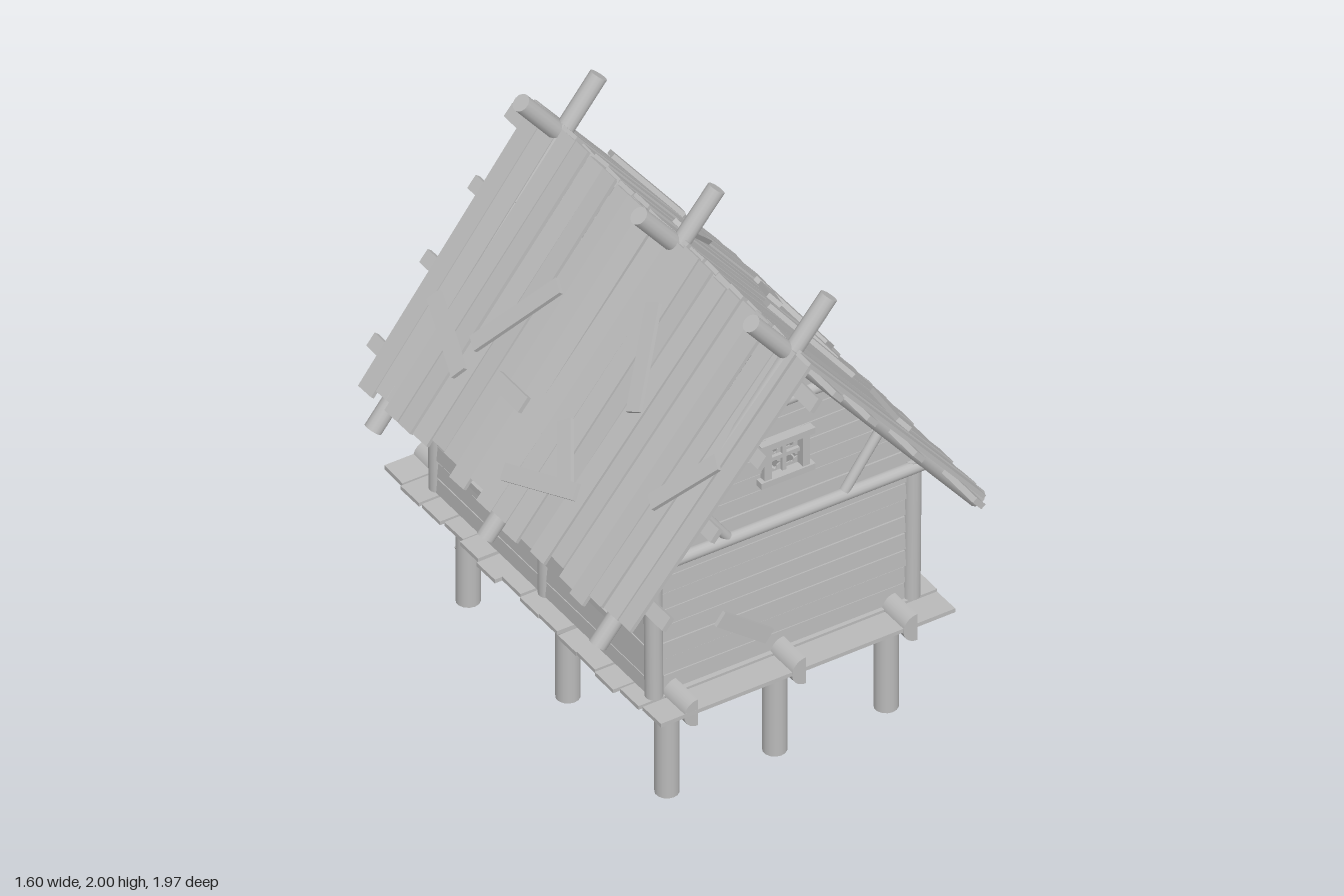
import * as THREE from 'three';

const wood = new THREE.MeshStandardMaterial({ color: 0xbababa });
wood.name = 'greyWood';

// Small seeded generator for hand-cut irregularity
let seed = 7;
const rnd = (a) => {
  seed = (seed * 16807) % 2147483647;
  return (seed / 2147483647 * 2 - 1) * a;
};

const SLOPE = 1.227, PITCH = Math.atan(SLOPE), RIDGE = 1.84;

function group(name, parent) {
  const g = new THREE.Group();
  g.name = name;
  parent.add(g);
  return g;
}
function add(parent, name, geo, x = 0, y = 0, z = 0) {
  const m = new THREE.Mesh(geo, wood);
  m.name = name;
  m.position.set(x, y, z);
  parent.add(m);
  return m;
}
const box = (parent, name, w, h, d, x, y, z) => add(parent, name, new THREE.BoxGeometry(w, h, d), x, y, z);

// Round log between two points
function log(parent, name, a, b, r) {
  const p = new THREE.Vector3(...a), q = new THREE.Vector3(...b);
  const dir = q.clone().sub(p);
  const m = add(parent, name, new THREE.CylinderGeometry(r, r, dir.length(), 14));
  m.position.copy(p).add(q).multiplyScalar(0.5);
  m.quaternion.setFromUnitVectors(new THREE.Vector3(0, 1, 0), dir.normalize());
  return m;
}
// Flat board between two points of a vertical plane
function board(parent, name, x1, y1, x2, y2, z, width, depth) {
  const m = box(parent, name, Math.hypot(x2 - x1, y2 - y1), width, depth, (x1 + x2) / 2, (y1 + y2) / 2, z);
  m.rotation.z = Math.atan2(y2 - y1, x2 - x1);
  return m;
}
function rectPath(x0, y0, x1, y1) {
  return new THREE.Path([[x0, y0], [x1, y0], [x1, y1], [x0, y1]].map((p) => new THREE.Vector2(...p)));
}

// Framed window with a cross bar and jagged broken panes
function windowFrame(parent, cx, cy, hw, hh) {
  const g = group('window', parent);
  g.position.set(cx, cy, 0);
  for (const s of [-1, 1]) {
    box(g, 'windowJamb', 0.03, hh * 2 + 0.03, 0.05, s * (hw + 0.008), 0, 0.012);
    box(g, 'windowRail', hw * 2 + 0.08, 0.026, 0.06, 0, s * (hh + 0.008), 0.014);
  }
  box(g, 'windowMullion', 0.016, hh * 2, 0.025, 0, 0, 0.005);
  box(g, 'windowBar', hw * 2, 0.016, 0.025, 0, 0, 0.005);
  const pane = new THREE.Shape(rectPath(-hw, -hh, hw, hh).getPoints());
  for (const sx of [-1, 1]) for (const sy of [-1, 1]) {
    const pts = [];
    for (let i = 0; i < 10; i++) {
      const a = i / 10 * Math.PI * 2, r = (i % 2 ? 0.45 : 0.85) + rnd(0.1);
      pts.push(new THREE.Vector2(sx * hw * 0.5 + Math.cos(a) * r * hw * 0.48, sy * hh * 0.5 + Math.sin(a) * r * hh * 0.48));
    }
    pane.holes.push(new THREE.Path(pts));
  }
  add(g, 'brokenGlass', new THREE.ExtrudeGeometry(pane, { depth: 0.004, bevelEnabled: false }));
}

// Plank wall in its own plane, facing local +z; half(y) gives its half width
function plankWall(parent, y0, y1, half, holes) {
  const back = new THREE.Shape([[-half(y0), y0], [half(y0), y0], [half(y1), y1], [-half(y1), y1]].map((p) => new THREE.Vector2(...p)));
  for (const h of holes) back.holes.push(rectPath(...h));
  add(parent, 'wallPanel', new THREE.ExtrudeGeometry(back, { depth: 0.02, bevelEnabled: false }), 0, 0, -0.015);
  const rows = Math.round((y1 - y0) / 0.07), step = (y1 - y0) / rows;
  for (let i = 0; i < rows; i++) {
    const lo = y0 + i * step, hi = lo + step, w = half(hi);
    const cuts = holes.filter((h) => h[1] < hi - 0.01 && h[3] > lo + 0.01).sort((a, b) => a[0] - b[0]);
    let x = -w;
    for (const end of [...cuts, [w, 0, w, 0]]) {
      if (end[0] - x > 0.01) {
        const m = box(parent, 'wallPlank', end[0] - x, step - 0.007, 0.034 + rnd(0.004), (x + end[0]) / 2, (lo + hi) / 2, -0.003);
        m.rotation.z = rnd(0.004);
        m.rotation.x = -0.06;
      }
      x = end[2];
    }
  }
}

export function createModel() {
  const model = new THREE.Group();
  model.name = 'stiltHut';

  // Stilts, half-log bearers and deck
  const base = group('base', model);
  for (const x of [-0.44, 0, 0.455]) {
    for (const z of [0.645, 0.01, -0.63]) log(base, 'stilt', [x, 0, z], [x, 0.45, z], 0.044);
    const bearer = add(base, 'bearer', new THREE.CylinderGeometry(0.056, 0.056, 1.74, 14, 1, false, Math.PI / 2, Math.PI), x, 0.472, -0.025);
    bearer.rotation.set(Math.PI / 2, Math.PI, 0);
    bearer.rotation.set(-Math.PI / 2, 0, 0);
    bearer.geometry.rotateY(Math.PI / 2);
  }
  for (let i = 0; i < 14; i++) {
    const p = box(base, 'deckPlank', 1.23 + rnd(0.025), 0.016, 0.117, rnd(0.012), 0.477 + rnd(0.003), 0.785 - i * 0.1245);
    p.rotation.set(rnd(0.03), rnd(0.008), rnd(0.006));
  }
  board(base, 'crossBrace', -0.44, 0.385, 0.04, 0.235, -0.68, 0.05, 0.018);
  board(base, 'crossBrace', -0.44, 0.165, 0.03, 0.365, -0.695, 0.05, 0.018);

  // Gable ends and side walls; local x runs along each wall
  const gableHalf = (y) => (RIDGE - y) / SLOPE - 0.045;
  const ends = [
    { name: 'frontWall', turn: 0, holes: [] },
    { name: 'backWall', turn: Math.PI, holes: [[-0.33, 0.485, -0.09, 0.97], [0.14, 0.71, 0.32, 0.9]] },
  ];
  for (const { name, turn, holes } of ends) {
    const side = group(name, model);
    side.rotation.y = turn;
    const w = group('boarding', side);
    w.position.z = 0.69;
    plankWall(w, 0.485, 1.06, () => 0.515, holes);
    plankWall(w, 1.06, 1.77, gableHalf, [[-0.07, 1.25, 0.07, 1.39]]);
    windowFrame(w, 0, 1.32, 0.07, 0.07);
    log(w, 'tieBeam', [-0.565, 1.055, 0.025], [0.565, 1.055, 0.025], 0.024);
    log(w, 'collarBeam', [-0.2, 1.56, 0.015], [0.2, 1.56, 0.015], 0.024);
    for (const s of [-1, 1]) log(w, 'gableBrace', [s * 0.24, 1.07, 0.025], [s * 0.39, 1.28, 0.025], 0.019);
    if (turn) {
      windowFrame(w, 0.23, 0.805, 0.09, 0.095);
      for (const x of [-0.34, -0.08]) box(w, 'doorJamb', 0.03, 0.5, 0.055, x, 0.735, 0.01);
      box(w, 'doorLintel', 0.31, 0.032, 0.06, -0.21, 0.985, 0.012);
      board(w, 'patchBoard', 0.13, 0.66, 0.31, 0.56, 0.027, 0.05, 0.016);
      board(w, 'patchBoard', -0.2, 1.2, -0.18, 1.37, 0.027, 0.05, 0.016);
    } else {
      board(w, 'patchBoard', -0.27, 0.725, -0.07, 0.57, 0.027, 0.06, 0.016);
    }
  }
  for (const s of [-1, 1]) {
    const side = group(s > 0 ? 'rightSideWall' : 'leftSideWall', model);
    side.rotation.y = s * Math.PI / 2;
    const w = group('boarding', side);
    w.position.z = 0.53;
    const centres = [-0.36 * s, 0.33 * s];
    plankWall(w, 0.485, 1.1, () => 0.68, centres.map((c) => [c - 0.09, 0.71, c + 0.09, 0.9]));
    for (const c of centres) windowFrame(w, c, 0.805, 0.09, 0.095);
    log(w, 'wallPlate', [-0.7, 1.06, 0], [0.7, 1.06, 0], 0.024);
    for (const z of [0.695, 0.01, -0.69]) log(model, 'wallPost', [s * 0.525, 0.485, z], [s * 0.53, 1.08, z], 0.033);
  }

  // Crossed rafter logs
  for (const z of [0.725, 0.005, -0.715]) for (const s of [-1, 1]) {
    log(model, 'rafter', [-s * 0.775, 0.825, z], [s * 0.155, 1.975, z + Math.sign(z) * 0.018 + s * 0.006], 0.034);
  }

  // Roof slopes: local x runs down the slope, y is the outward normal
  const across = 1 / Math.cos(PITCH);
  // Each patch: z and x of its two ends, with x measured out from the ridge
  const patches = {
    1: [[0.77, 0.44, 0.46, 0.53], [0.41, 0.456, 0.22, 0.23], [0.3, 0.48, 0.13, 0.455], [-0.16, 0.12, -0.37, 0.35],
      [-0.06, 0.44, -0.24, 0.52], [0.04, 0.6, -0.32, 0.54], [-0.62, 0.42, -0.78, 0.23]],
    '-1': [[-0.77, 0.48, -0.47, 0.57], [-0.49, 0.5, -0.3, 0.27], [-0.31, 0.52, -0.13, 0.52], [-0.04, 0.66, 0.3, 0.58],
      [0.07, 0.48, 0.26, 0.6], [0.32, 0.36, 0.12, 0.15], [0.62, 0.48, 0.78, 0.31]],
  };
  for (const s of [1, -1]) {
    const turn = group(s > 0 ? 'rightRoof' : 'leftRoof', model);
    turn.rotation.y = s > 0 ? 0 : Math.PI;
    turn.position.y = RIDGE;
    const roof = group('roofSlope', turn);
    roof.rotation.z = -PITCH;
    for (let i = 0; i < 20; i++) {
      const start = 0.02 + rnd(0.015), end = 1.175 + rnd(0.03), z = 0.828 - i * 0.0872;
      const p = box(roof, 'roofPlank', end - start, 0.015, 0.081 + rnd(0.005), (start + end) / 2, -0.011 + rnd(0.004), s * z);
      p.rotation.set(rnd(0.06), z * s * 0.02 + rnd(0.012), rnd(0.006));
    }
    // Purlin boards poking out past both gables
    [[0.07, 0.985, -0.985], [0.245, 0.925, -0.945], [0.44, 0.925, -0.945], [0.66, 0.96, -0.94]].forEach(([x, z1, z2]) => {
      box(roof, 'purlin', 0.055, 0.022, z1 - z2, x * across, -0.033, s * (z1 + z2) / 2).rotation.y = rnd(0.006);
    });
    for (const [z1, x1, z2, x2] of patches[s]) {
      const dx = (x2 - x1) * across, dz = s * (z2 - z1);
      const p = box(roof, 'roofPatch', Math.hypot(dx, dz), 0.018, 0.062, (x1 + x2) / 2 * across, 0.011, s * (z1 + z2) / 2);
      p.rotation.set(0, -Math.atan2(dz, dx), 0);
    }
  }
  return model;
}
